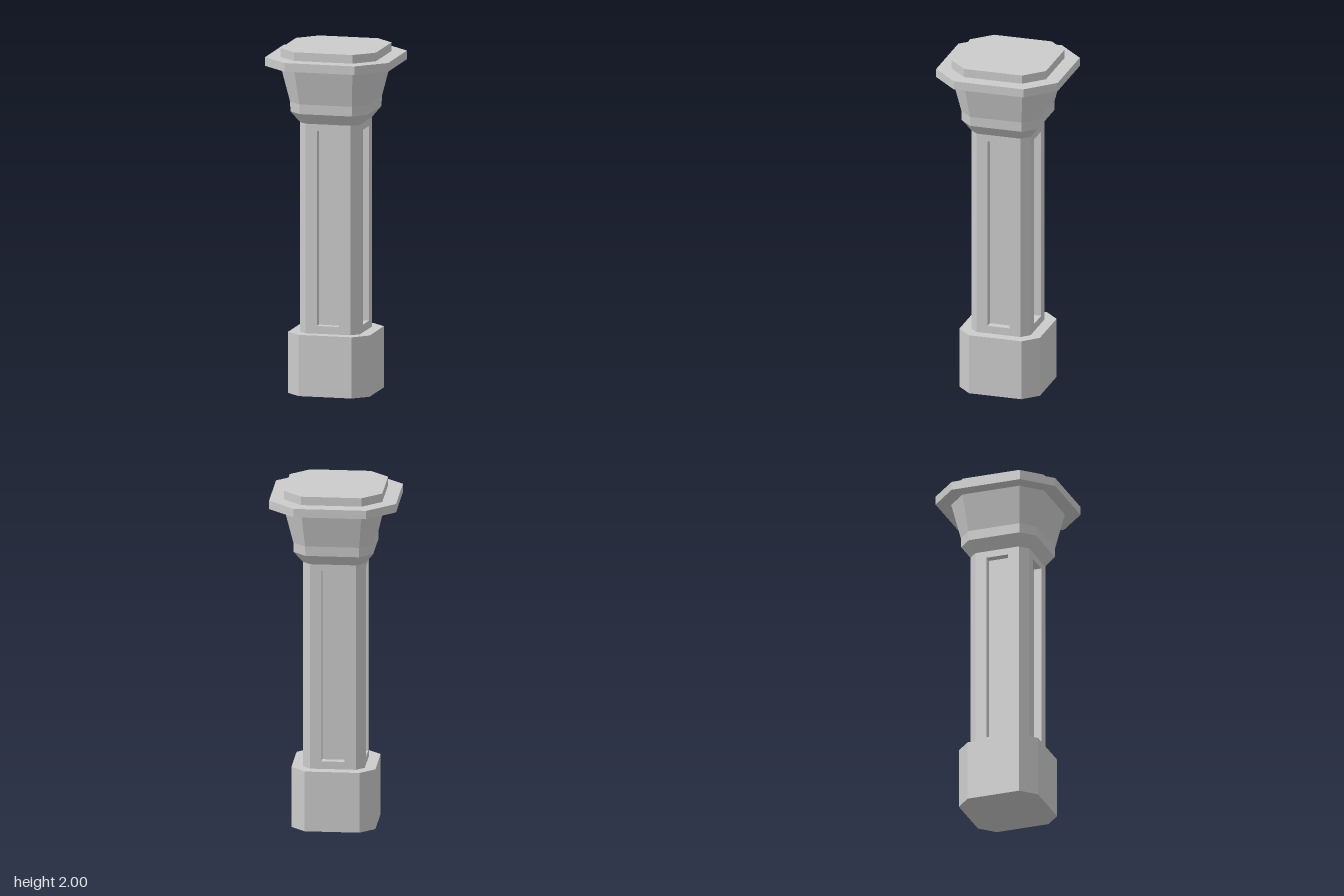
import * as THREE from 'three';

const material = new THREE.MeshStandardMaterial({ color: 0xcccccc, flatShading: true });

// Skin a list of equal-length rings; rings run counter-clockwise seen from the last one.
function loft(rings, capStart, capEnd) {
  const pos = [];
  const tri = (...points) => points.forEach((p) => pos.push(...p));
  for (let r = 0; r < rings.length - 1; r++) {
    const a = rings[r], b = rings[r + 1];
    a.forEach((p, i) => {
      const j = (i + 1) % a.length;
      tri(p, a[j], b[j]);
      tri(p, b[j], b[i]);
    });
  }
  const first = rings[0], last = rings[rings.length - 1];
  for (let i = 1; i < first.length - 1; i++) {
    if (capStart) tri(first[0], first[i + 1], first[i]);
    if (capEnd) tri(last[0], last[i], last[i + 1]);
  }
  const geometry = new THREE.BufferGeometry();
  geometry.setAttribute('position', new THREE.Float32BufferAttribute(pos, 3));
  geometry.computeVertexNormals();
  return geometry;
}

// Square with cut corners: h = half width, f = half length of the flat side.
function octagon([y, h, f]) {
  return [[h, f], [h, -f], [f, -h], [-f, -h], [-h, -f], [-h, f], [-f, h], [f, h]]
    .map(([x, z]) => [x, y, z]);
}

// Upright rectangle facing +z.
function rectangle(w, y0, y1, z) {
  return [[-w, y0, z], [w, y0, z], [w, y1, z], [-w, y1, z]];
}

function addMesh(parent, name, geometry) {
  const mesh = new THREE.Mesh(geometry, material);
  mesh.name = name;
  parent.add(mesh);
  return mesh;
}

export function createModel() {
  const column = new THREE.Group();
  column.name = 'column';

  // Solid octagonal parts, each a stack of [y, half width, half flat]
  const solids = {
    base: [[0, 0.241, 0.157], [0.355, 0.241, 0.157]],
    capital: [[1.57, 0.178, 0.132], [1.633, 0.228, 0.154], [1.69, 0.23, 0.155], [1.9, 0.282, 0.173]],
    abacus: [[1.9, 0.364, 0.208], [1.95, 0.364, 0.208]],
    topPlate: [[1.95, 0.282, 0.173], [2, 0.282, 0.173]],
  };
  for (const [name, sections] of Object.entries(solids)) {
    addMesh(column, name, loft(sections.map(octagon), true, true));
  }

  // Shaft: four faces with a sunken panel, joined by four chamfers
  const shaft = new THREE.Group();
  shaft.name = 'shaft';
  column.add(shaft);
  const y0 = 0.355, y1 = 1.57, half = 0.178, flat = 0.132, depth = 0.045;
  const panelFace = loft([
    rectangle(flat, y0, y1, half),
    rectangle(0.066, 0.4, 1.53, half),
    rectangle(0.066, 0.4, 1.53, half - depth),
  ], false, true);
  const chamfer = new THREE.PlaneGeometry((half - flat) * Math.SQRT2, y1 - y0);
  chamfer.translate(0, (y0 + y1) / 2, (half + flat) / Math.SQRT2);
  for (let i = 0; i < 4; i++) {
    const angle = i * Math.PI / 2;
    addMesh(shaft, 'shaftPanelFace', panelFace).rotation.y = angle;
    addMesh(shaft, 'shaftChamfer', chamfer).rotation.y = angle + Math.PI / 4;
  }
  return column;
}
